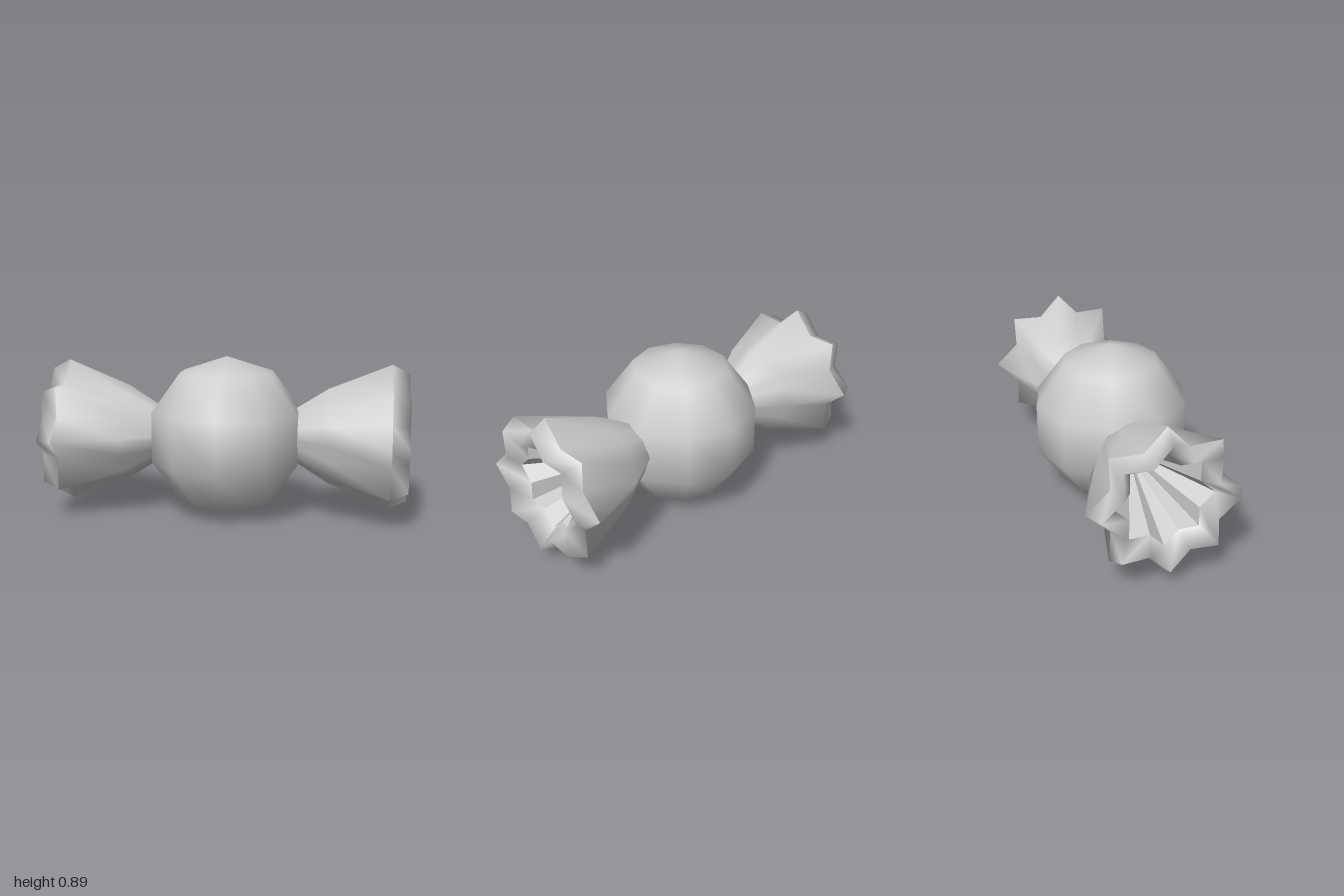
import * as THREE from 'three';

const POINTS = 8;
const SIDES = POINTS * 2;

// Lofts star-shaped sections along x. Section: [x, ridge radius, valley radius, y, z]
function loftStars(sections, flat = false) {
  const positions = [];
  const index = [];
  for (const [x, ridge, valley, y = 0, z = -0.025] of sections) {
    for (let j = 0; j < SIDES; j++) {
      const a = (j / SIDES) * Math.PI * 2;
      const r = j % 2 ? valley : ridge;
      positions.push(x, y + r * Math.sin(a), z + r * Math.cos(a));
    }
  }
  for (let s = 0; s < sections.length - 1; s++) {
    for (let j = 0; j < SIDES; j++) {
      const k = (j + 1) % SIDES;
      const a = s * SIDES + j, b = s * SIDES + k;
      const c = a + SIDES, d = b + SIDES;
      index.push(a, c, b, c, d, b);
    }
  }
  let geometry = new THREE.BufferGeometry();
  geometry.setAttribute('position', new THREE.Float32BufferAttribute(positions, 3));
  geometry.setIndex(index);
  if (flat) geometry = geometry.toNonIndexed();
  geometry.computeVertexNormals();
  return geometry;
}

export function createModel() {
  const group = new THREE.Group();
  const material = new THREE.MeshStandardMaterial({ color: 0xcccccc });
  const addMesh = (parent, name, geometry) => {
    const mesh = new THREE.Mesh(geometry, material);
    mesh.name = name;
    parent.add(mesh);
    return mesh;
  };

  // Round sweet in the middle
  const sweet = addMesh(group, 'sweet', new THREE.SphereGeometry(0.445, 10, 5));
  sweet.rotation.y = Math.PI / 2;
  sweet.position.set(0, 0.446, 0.007);

  // Flared wrapper end: pleated skirt, thick rim, hollow inside
  const skirt = loftStars([[0.3, 0.1, 0.09], [0.56, 0.265, 0.247], [0.905, 0.405, 0.303]]);
  const rim = loftStars([[0.905, 0.405, 0.303], [1, 0.355, 0.262], [0.905, 0.26, 0.197]]);
  const hollow = loftStars([
    [0.905, 0.26, 0.197],
    [0.45, 0.022, 0.014, -0.02, -0.042],
    [0.45, 0, 0, -0.02, -0.042],
  ], true);

  // The second end is the first one turned half way round
  for (const [name, turn] of [['leftWrapperEnd', 0], ['rightWrapperEnd', Math.PI]]) {
    const end = new THREE.Group();
    end.name = name;
    end.position.y = 0.45;
    end.rotation.z = turn;
    addMesh(end, 'pleatedSkirt', skirt);
    addMesh(end, 'rim', rim);
    addMesh(end, 'hollow', hollow);
    group.add(end);
  }
  return group;
}
